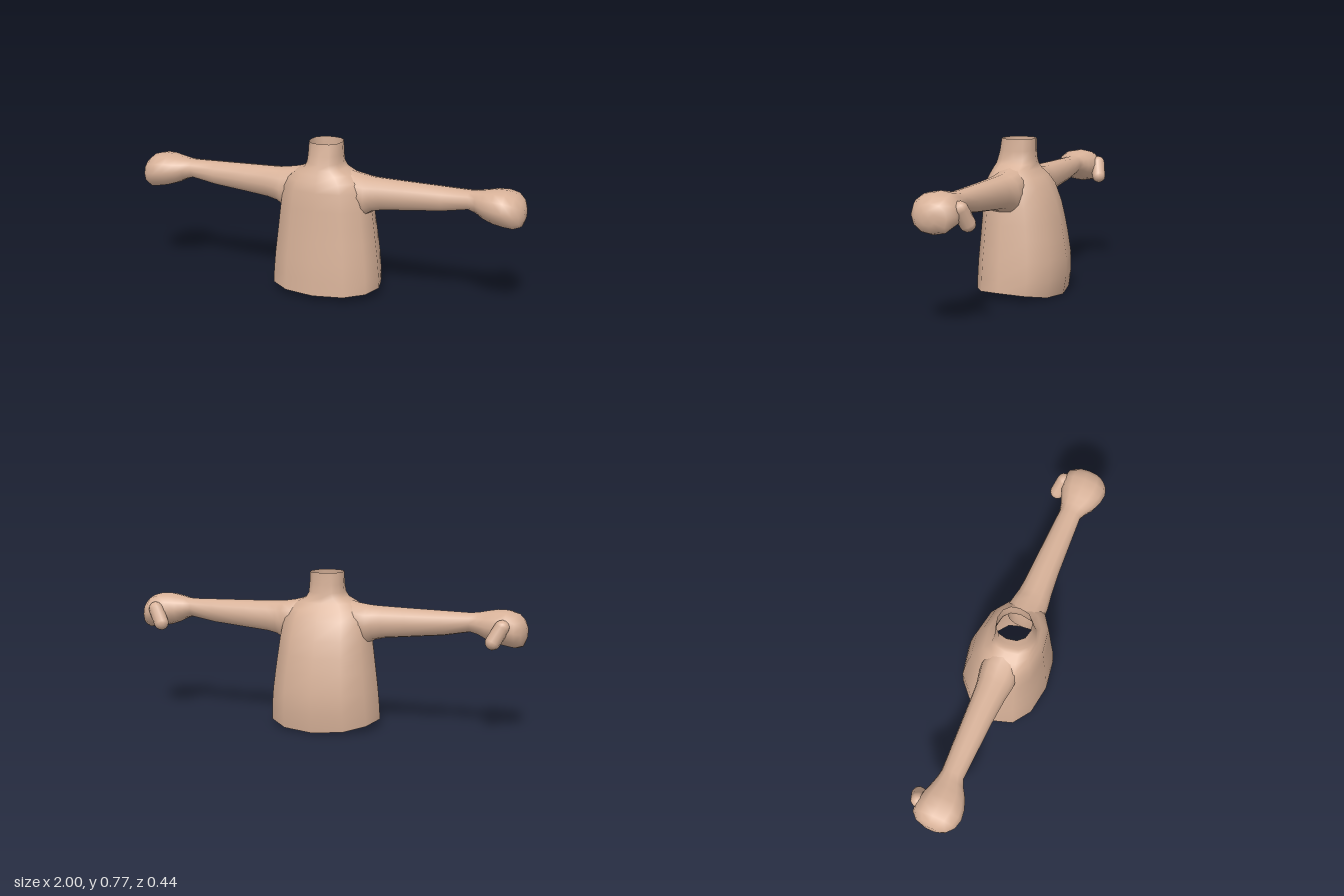
import * as THREE from 'three';

const skin = new THREE.MeshStandardMaterial({ color: 0xd8b299, side: THREE.DoubleSide });
skin.name = 'skin';

// Rounded power for slightly boxy ellipses
const spow = (v, p) => Math.sign(v) * Math.pow(Math.abs(v), p);

// Smooth skin through a list of rings, each an array of [x, y, z]
function loft(name, rings, capEnd = false) {
  const n = rings[0].length;
  const pos = rings.flat(2);
  const index = [];
  for (let i = 0; i < rings.length - 1; i++) {
    for (let j = 0; j < n; j++) {
      const k = (j + 1) % n;
      const a = i * n + j, b = i * n + k, c = a + n, d = b + n;
      index.push(a, c, b, b, c, d);
    }
  }
  if (capEnd) {
    const last = rings[rings.length - 1];
    const centre = [0, 1, 2].map(m => last.reduce((s, p) => s + p[m], 0) / n);
    const base = (rings.length - 1) * n;
    pos.push(...centre);
    for (let j = 0; j < n; j++) index.push(base + j, base + n, base + (j + 1) % n);
  }
  const geo = new THREE.BufferGeometry();
  geo.setAttribute('position', new THREE.Float32BufferAttribute(pos, 3));
  geo.setIndex(index);
  geo.computeVertexNormals();
  const mesh = new THREE.Mesh(geo, skin);
  mesh.name = name;
  return mesh;
}

// Horizontal ring; dips lower the rim at the front and back
function bodyRing([y, rx, zFront, zBack, dipFront = 0, dipBack = 0]) {
  const zc = 0.03, n = 12;
  return Array.from({ length: n }, (_, j) => {
    const a = (j / n) * Math.PI * 2;
    const c = spow(Math.cos(a), 0.88), s = spow(Math.sin(a), 0.88);
    const reach = s > 0 ? zFront - zc : zc - zBack;
    return [rx * c, y - s * s * (s > 0 ? dipFront : dipBack), zc + s * reach];
  });
}

// Upright ring across the arm
function armRing([x, top, bottom, zFront, zBack]) {
  const n = 12, yc = (top + bottom) / 2, zc = (zFront + zBack) / 2;
  return Array.from({ length: n }, (_, j) => {
    const a = (j / n) * Math.PI * 2;
    return [
      x,
      yc + spow(Math.cos(a), 0.9) * (top - bottom) / 2,
      zc - spow(Math.sin(a), 0.9) * (zFront - zBack) / 2,
    ];
  });
}

// Arm swelling into a closed fist, with a separate thumb
function makeArm(name) {
  const g = new THREE.Group();
  g.name = name;
  const rows = [
    [0.11, 0.638, 0.46, 0.11, -0.045],
    [0.17, 0.623, 0.43, 0.122, -0.068],
    [0.22, 0.615, 0.42, 0.12, -0.06],
    [0.25, 0.612, 0.44, 0.117, -0.052],
    [0.30, 0.61, 0.452, 0.11, -0.046],
    [0.42, 0.607, 0.464, 0.1, -0.04],
    [0.60, 0.603, 0.482, 0.092, -0.032],
    [0.73, 0.6, 0.506, 0.087, -0.025],
    [0.77, 0.604, 0.495, 0.105, -0.033],
    [0.81, 0.612, 0.474, 0.13, -0.047],
    [0.86, 0.621, 0.457, 0.148, -0.066],
    [0.91, 0.621, 0.447, 0.154, -0.078],
    [0.955, 0.608, 0.44, 0.14, -0.074],
    [0.985, 0.58, 0.45, 0.11, -0.045],
    [1.0, 0.55, 0.485, 0.07, 0.005],
  ];
  g.add(loft('armAndFist', rows.map(armRing), true));

  const root = new THREE.Vector3(0.9, 0.55, -0.068);
  const tip = new THREE.Vector3(0.862, 0.482, -0.086);
  const dir = tip.clone().sub(root);
  const thumb = new THREE.Mesh(new THREE.CapsuleGeometry(0.037, dir.length(), 4, 10), skin);
  thumb.name = 'thumb';
  thumb.position.copy(root).add(tip).multiplyScalar(0.5);
  thumb.quaternion.setFromUnitVectors(new THREE.Vector3(0, 1, 0), dir.normalize());
  g.add(thumb);
  return g;
}

export function createModel() {
  const model = new THREE.Group();
  model.name = 'torsoWithArms';

  // Torso and neck, open at the waist and the neck
  const body = [
    [0.04, 0.28, 0.22, -0.202, 0.015, 0.04],
    [0.10, 0.277, 0.218, -0.217, 0, 0.01],
    [0.19, 0.269, 0.213, -0.217],
    [0.29, 0.257, 0.204, -0.202],
    [0.37, 0.247, 0.198, -0.186],
    [0.45, 0.237, 0.192, -0.166],
    [0.54, 0.222, 0.186, -0.13],
    [0.585, 0.198, 0.172, -0.096],
    [0.62, 0.155, 0.158, -0.062],
    [0.645, 0.105, 0.149, -0.058],
    [0.67, 0.09, 0.142, -0.055],
    [0.71, 0.086, 0.13, -0.051],
    [0.77, 0.083, 0.12, -0.051],
  ];
  model.add(loft('torsoAndNeck', body.map(bodyRing)));

  // Mirrored arms
  const left = makeArm('leftArm');
  const right = makeArm('rightArm');
  right.scale.x = -1;
  model.add(left, right);
  return model;
}
